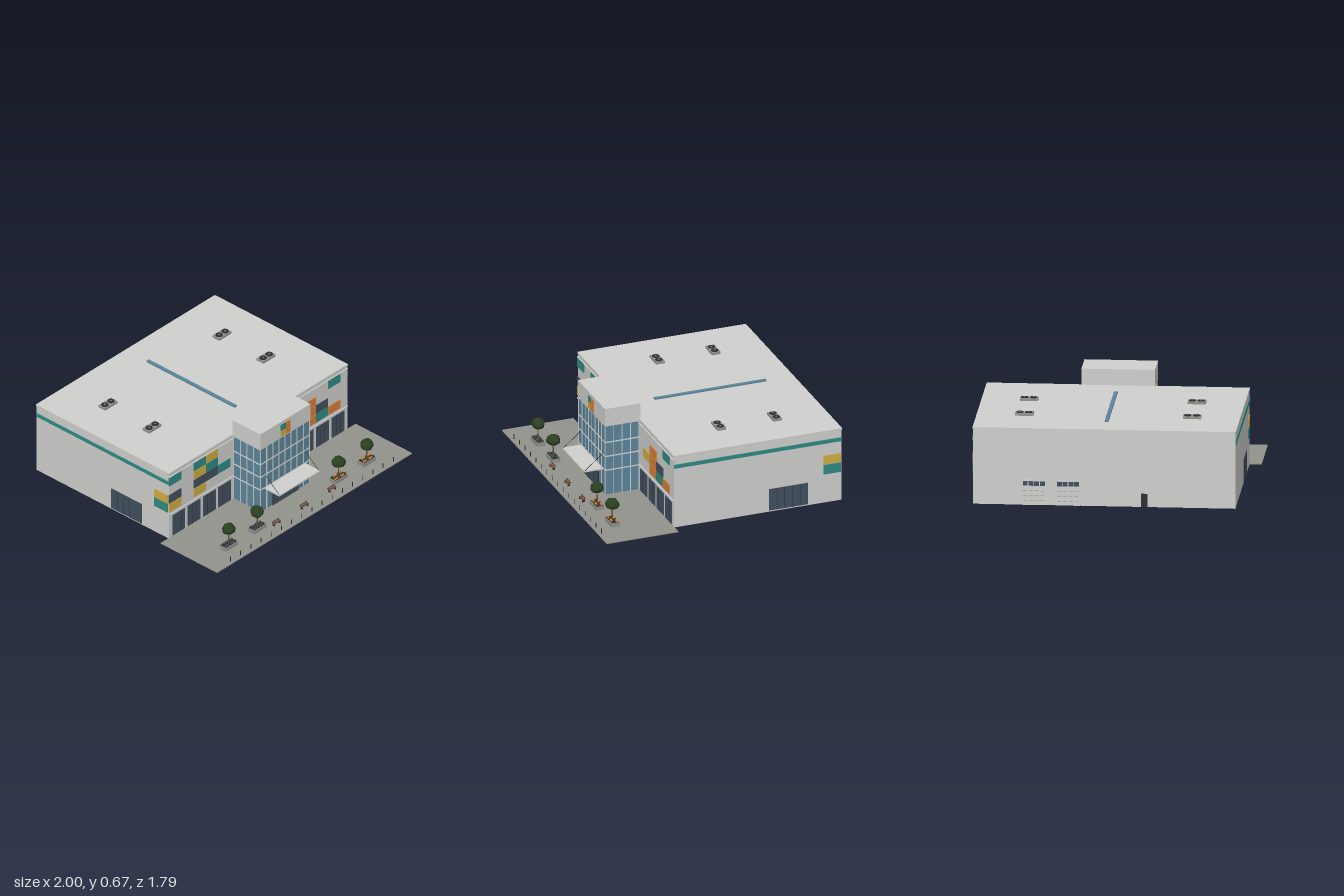
import * as THREE from 'three';

const mat = (name, color, opts = {}) => {
  const m = new THREE.MeshStandardMaterial({ color, ...opts });
  m.name = name;
  return m;
};

export function createModel() {
  const M = {
    wall: mat('wallGrey', 0xd0d0ce),
    teal: mat('teal', 0x2f8a84),
    yellow: mat('yellow', 0xd0ad42),
    orange: mat('orange', 0xd87f38),
    navy: mat('navyGlass', 0x425060),
    glass: mat('blueGlass', 0x5b859b),
    paving: mat('pavingGrey', 0x93938c),
    leaf: mat('leafGreen', 0x2b4020, { flatShading: true }),
    wood: mat('woodBrown', 0x70503a),
    dark: mat('charcoal', 0x2e3032),
  };
  const root = new THREE.Group();
  root.name = 'building';

  const group = (name, parent = root, x = 0, y = 0, z = 0) => {
    const g = new THREE.Group();
    g.name = name;
    g.position.set(x, y, z);
    parent.add(g);
    return g;
  };
  const add = (name, geo, m, x, y, z, parent = root) => {
    const mesh = new THREE.Mesh(geo, m);
    mesh.name = name;
    mesh.position.set(x, y, z);
    parent.add(mesh);
    return mesh;
  };
  // box given by its minimum and maximum corners
  const box = (name, m, x0, x1, y0, y1, z0, z1, parent = root) =>
    add(name, new THREE.BoxGeometry(x1 - x0, y1 - y0, z1 - z0), m,
      (x0 + x1) / 2, (y0 + y1) / 2, (z0 + z1) / 2, parent);

  const W = 0.915, BACK = -0.897, FRONT = 0.355;

  // main hall and forecourt
  box('hall', M.wall, -W, W, 0, 0.54, BACK, FRONT);
  box('roofCoping', M.wall, -W - 0.003, W + 0.003, 0.535, 0.55, BACK - 0.003, FRONT + 0.003);
  box('forecourt', M.paving, -1, 1, 0, 0.006, FRONT, 0.89);

  // coloured facade panels on a grid, one letter per cell
  const code = { t: M.teal, y: M.yellow, n: M.navy, o: M.orange };
  const panels = (x0, rows) => rows.forEach((row, r) => [...row].forEach((c, i) => {
    if (!code[c]) return;
    const x = x0 + i * 0.126, y = 0.511 - r * 0.073;
    box('facadePanel', code[c], x + 0.001, x + 0.124, y - 0.069, y, FRONT, FRONT + 0.006);
  }));
  panels(-0.917, ['t.ty.', '..yt.', 'n.nnt', 'y.y..']);
  panels(0.337, ['...t', '.o..', 'yon.', '.oto']);

  // shop windows and facade ledges, mirrored
  for (const s of [-1, 1]) {
    for (let i = 0; i < 4; i++) {
      const cx = s * (0.345 + i * 0.157);
      const g = group('shopWindow', root, cx, 0, FRONT);
      box('pane', M.navy, -0.064, 0.064, 0.01, 0.178, 0, 0.004, g);
      for (const x of [-0.021, 0.021]) box('mullion', M.dark, x - 0.001, x + 0.001, 0.01, 0.178, 0.004, 0.006, g);
    }
    for (const y of [0.199, 0.514]) {
      const a = s * 0.257, b = s * W;
      box('facadeLedge', M.wall, Math.min(a, b), Math.max(a, b), y, y + 0.004, FRONT, FRONT + 0.008);
    }
  }

  // side walls: the second is the first turned half round the hall centre
  for (const turn of [0, Math.PI]) {
    const g = group('sideWallDetails', root, 0, 0, (BACK + FRONT) / 2);
    g.rotation.y = turn;
    const z = (v) => v - (BACK + FRONT) / 2;
    const half = (FRONT - BACK) / 2;
    box('stripe', M.teal, W, W + 0.005, 0.452, 0.48, -half, half, g);
    box('yellowPanel', M.yellow, W, W + 0.005, 0.292, 0.36, z(-0.89), z(-0.76), g);
    box('tealPanel', M.teal, W, W + 0.005, 0.217, 0.288, z(-0.89), z(-0.76), g);
    box('sideWindow', M.navy, W, W + 0.004, 0.01, 0.173, z(-0.644), z(-0.356), g);
    for (let i = 1; i < 5; i++) {
      const c = z(-0.644 + i * 0.0576);
      box('mullion', M.dark, W + 0.004, W + 0.006, 0.01, 0.173, c - 0.001, c + 0.001, g);
    }
  }

  // loading doors and service door at the back
  for (const cx of [0.49, 0.252]) {
    const g = group('loadingDoor', root, cx, 0, BACK);
    box('doorLeaf', M.wall, -0.084, 0.084, 0, 0.18, -0.004, 0, g);
    for (let i = 0; i < 4; i++) {
      const x = -0.06 + i * 0.04;
      box('doorWindow', M.navy, x - 0.017, x + 0.017, 0.138, 0.17, -0.006, 0, g);
      for (const y of [0.03, 0.065, 0.1])
        box('doorGroove', M.paving, x - 0.014, x + 0.014, y, y + 0.003, -0.006, 0, g);
    }
  }
  box('serviceDoor', M.dark, -0.302, -0.257, 0, 0.095, BACK - 0.005, BACK);

  // entrance tower
  const tower = group('entranceTower');
  const TX = 0.25, TZ = 0.608;
  box('towerGlass', M.glass, -TX, TX, 0, 0.53, FRONT, TZ, tower);
  box('towerCap', M.wall, -0.257, 0.257, 0.53, 0.665, 0.348, 0.613, tower);
  for (let i = 0; i <= 8; i++) {
    const x = -TX + i * TX / 4;
    box('frontMullion', M.wall, x - 0.003, x + 0.003, 0.006, 0.53, TZ, TZ + 0.004, tower);
  }
  for (const s of [-1, 1]) for (let i = 0; i <= 4; i++) {
    const z = FRONT + 0.003 + i * 0.0625;
    box('sideMullion', M.wall, s * TX - 0.004, s * TX + 0.004, 0.006, 0.53, z - 0.002, z + 0.002, tower);
  }
  for (const y of [0.192, 0.298, 0.405])
    box('transom', M.wall, -TX - 0.004, TX + 0.004, y - 0.004, y + 0.004, FRONT, TZ + 0.004, tower);
  box('accentTileTeal', M.teal, -0.048, 0, 0.592, 0.64, 0.613, 0.618, tower);
  box('accentTileYellow', M.yellow, -0.048, 0, 0.543, 0.591, 0.613, 0.618, tower);
  box('accentTileOrange', M.orange, 0, 0.048, 0.543, 0.64, 0.613, 0.618, tower);

  // entrance doors
  box('entranceDoors', M.navy, -0.13, 0.13, 0.006, 0.135, TZ, TZ + 0.007, tower);
  for (let i = 0; i <= 6; i++) {
    const x = -0.129 + i * 0.043;
    box('doorFrame', M.dark, x - 0.001, x + 0.001, 0.006, 0.135, TZ, TZ + 0.009, tower);
  }

  // canopy hung on two rods
  box('canopy', M.wall, -0.208, 0.208, 0.18, 0.191, TZ, 0.748, tower);
  for (const s of [-1, 1]) {
    const path = new THREE.LineCurve3(new THREE.Vector3(s * 0.203, 0.19, 0.742), new THREE.Vector3(s * 0.203, 0.3, TZ));
    add('canopyRod', new THREE.TubeGeometry(path, 1, 0.002, 6), M.dark, 0, 0, 0, tower);
  }

  // roof skylight and ventilation units
  box('skylight', M.glass, -0.013, 0.013, 0.55, 0.56, -0.69, 0.143);
  for (const x of [-0.585, 0.585]) for (const z of [-0.525, -0.108]) {
    const g = group('ventilationUnit', root, x, 0.55, z);
    box('unitBody', M.paving, -0.063, 0.063, 0, 0.018, -0.032, 0.032, g);
    for (const s of [-1, 1]) {
      add('fan', new THREE.CylinderGeometry(0.026, 0.026, 0.004, 20), M.dark, s * 0.031, 0.02, 0, g);
      add('fanHub', new THREE.CylinderGeometry(0.006, 0.006, 0.002, 10), M.paving, s * 0.031, 0.023, 0, g);
    }
  }

  // planters with trees and flowers
  const crown = new THREE.IcosahedronGeometry(0.046, 2);
  const p = crown.attributes.position;
  for (let i = 0; i < p.count; i++) {
    const x = p.getX(i), y = p.getY(i), z = p.getZ(i);
    const k = 1 + 0.09 * Math.sin(x * 110 + y * 60) * Math.cos(z * 100 - y * 70);
    p.setXYZ(i, x * k * 1.08, y * k * (y < 0 ? 0.75 : 1), z * k);
  }
  crown.computeVertexNormals();
  [-0.71, -0.42, 0.415, 0.705].forEach((x, n) => {
    const g = group('planterTree', root, x, 0.006, 0.733);
    box('planter', M.paving, -0.063, 0.063, 0, 0.028, -0.031, 0.031, g);
    box('soil', M.dark, -0.057, 0.057, 0.028, 0.03, -0.026, 0.026, g);
    add('trunk', new THREE.CylinderGeometry(0.004, 0.006, 0.1, 8), M.wood, 0, 0.078, 0, g);
    add('crown', crown, M.leaf, 0, 0.144, 0, g).rotation.y = n * 1.3;
    for (let i = 0; i < 6; i++) for (const s of [-1, 1]) {
      const m = (i + (s > 0 ? 1 : 0)) % 3 === 0 ? M.leaf : x < 0 ? M.navy : M.orange;
      add('flower', new THREE.IcosahedronGeometry(0.009, 0), m, -0.048 + i * 0.0192, 0.034, s * 0.016, g);
    }
  });

  // benches
  for (const x of [-0.285, 0, 0.283]) {
    const g = group('bench', root, x, 0.006, 0.793);
    for (const z of [-0.0075, 0, 0.0075])
      box('seatSlat', M.wood, -0.036, 0.036, 0.018, 0.021, z - 0.003, z + 0.003, g);
    box('backRest', M.wood, -0.036, 0.036, 0.026, 0.034, -0.012, -0.009, g);
    for (const s of [-1, 1]) {
      box('benchLeg', M.dark, s * 0.028 - 0.002, s * 0.028 + 0.002, 0, 0.018, -0.01, 0.01, g);
      box('backPost', M.dark, s * 0.028 - 0.002, s * 0.028 + 0.002, 0.018, 0.032, -0.01, -0.008, g);
    }
  }

  // bollards along the kerb
  for (let i = 0; i < 17; i++)
    add('bollard', new THREE.CylinderGeometry(0.003, 0.003, 0.036, 8), M.dark, -0.835 + i * 0.1044, 0.024, 0.864);

  return root;
}
